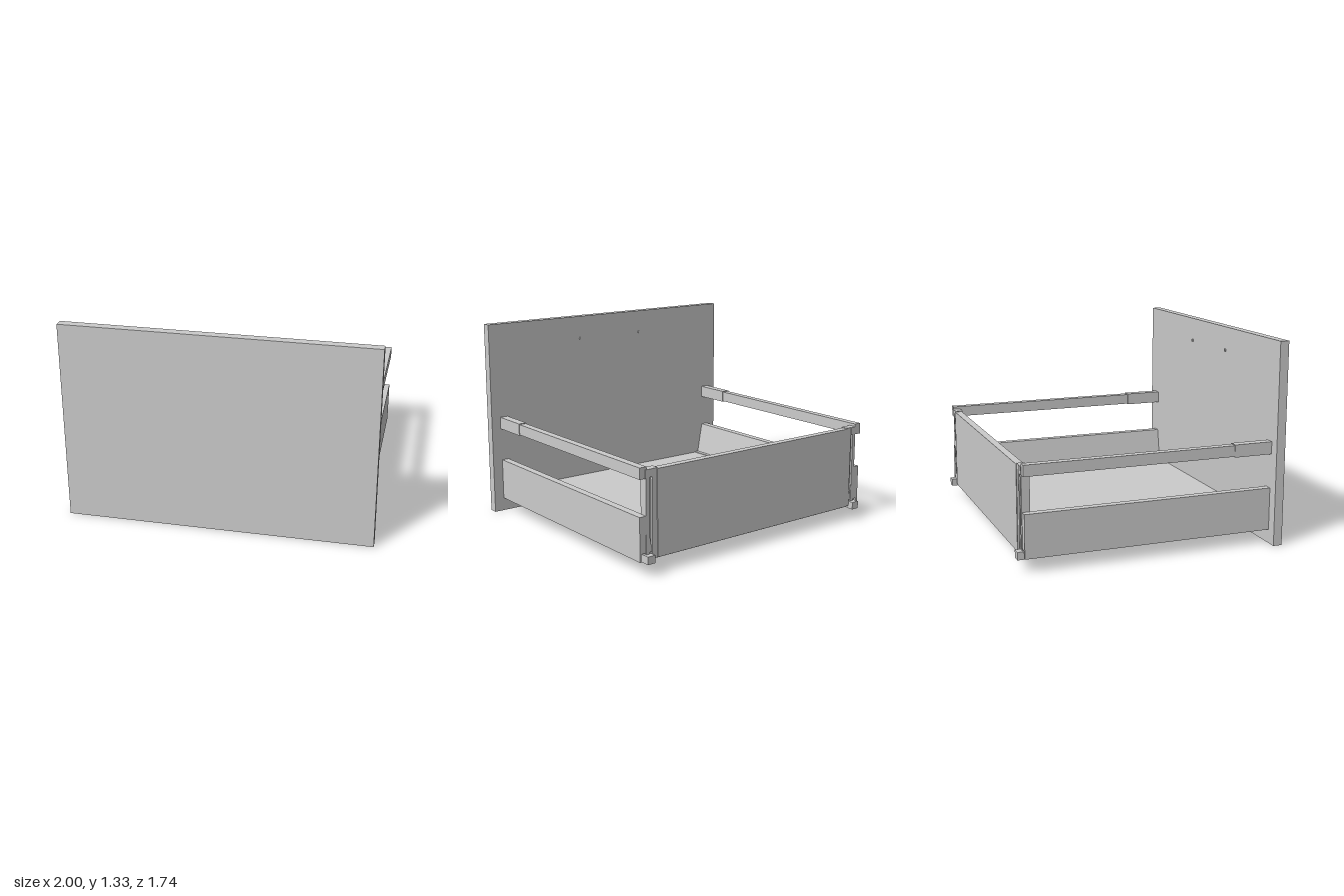
import * as THREE from 'three';

const material = new THREE.MeshStandardMaterial({ color: 0xcccccc, flatShading: true });

function add(parent, name, geometry) {
  const mesh = new THREE.Mesh(geometry, material);
  mesh.name = name;
  parent.add(mesh);
  return mesh;
}

// Box given by its limits on each axis
function box(parent, name, [x0, x1], [y0, y1], [z0, z1]) {
  const mesh = add(parent, name, new THREE.BoxGeometry(Math.abs(x1 - x0), y1 - y0, z1 - z0));
  mesh.position.set((x0 + x1) / 2, (y0 + y1) / 2, (z0 + z1) / 2);
  return mesh;
}

// Cross-section in x and y, drawn out along z
function profile(parent, name, points, z0, z1) {
  const shape = new THREE.Shape(points.map(([x, y]) => new THREE.Vector2(x, y)));
  const mesh = add(parent, name, new THREE.ExtrudeGeometry(shape, { depth: z1 - z0, bevelEnabled: false }));
  mesh.position.z = z0;
  return mesh;
}

function createSide(s) {
  const side = new THREE.Group();
  side.name = s > 0 ? 'leftSide' : 'rightSide';
  const part = (name, [x0, x1], y, z) => box(side, name, [s * x0, s * x1], y, z);

  // Wall with sloped inner face, a ledge over the base and a channel below
  const section = [
    [0.93, 0.09], [0.93, 0.37], [0.88, 0.37], [0.84, 0.15], [0.81, 0.15],
    [0.81, 0.10], [0.835, 0.10], [0.835, 0.14], [0.918, 0.14], [0.918, 0.09],
  ];
  profile(side, 'sideWall', section.map(([x, y]) => [s * x, y]), -0.835, 0.81);

  // Runner in the channel, with its rear hook block
  part('runner', [0.85, 0.90], [0.08, 0.13], [-0.84, 0.69]);
  part('runnerHook', [0.845, 0.90], [0.08, 0.13], [-0.873, -0.835]);

  // Gallery rail with front sleeve
  part('rail', [0.88, 0.93], [0.60, 0.672], [-0.838, 0.56]);
  part('railSleeve', [0.876, 0.934], [0.595, 0.677], [0.55, 0.81]);

  // Rear bracket joining back panel, wall and rail
  part('bracketFlange', [0.80, 0.84], [0.10, 0.655], [-0.84, -0.79]);
  part('bracketWeb', [0.835, 0.865], [0.10, 0.65], [-0.825, -0.81]);
  part('railPost', [0.86, 0.885], [0.13, 0.61], [-0.838, -0.785]);
  part('railClip', [0.84, 0.89], [0.605, 0.655], [-0.843, -0.79]);
  return side;
}

export function createModel() {
  const model = new THREE.Group();
  model.name = 'drawer';

  box(model, 'frontPanel', [-1, 1], [0, 1.33], [0.81, 0.87]);
  box(model, 'base', [-0.82, 0.82], [0.095, 0.145], [-0.835, 0.81]);
  box(model, 'backPanel', [-0.805, 0.805], [0.10, 0.65], [-0.845, -0.797]);

  for (const s of [-1, 1]) {
    model.add(createSide(s));
    // Small handle screw on the inside of the front
    const screw = add(model, 'handleScrew', new THREE.CylinderGeometry(0.01, 0.01, 0.014, 12));
    screw.rotation.x = Math.PI / 2;
    screw.position.set(s * 0.26, 1.17, 0.809);
  }
  return model;
}
